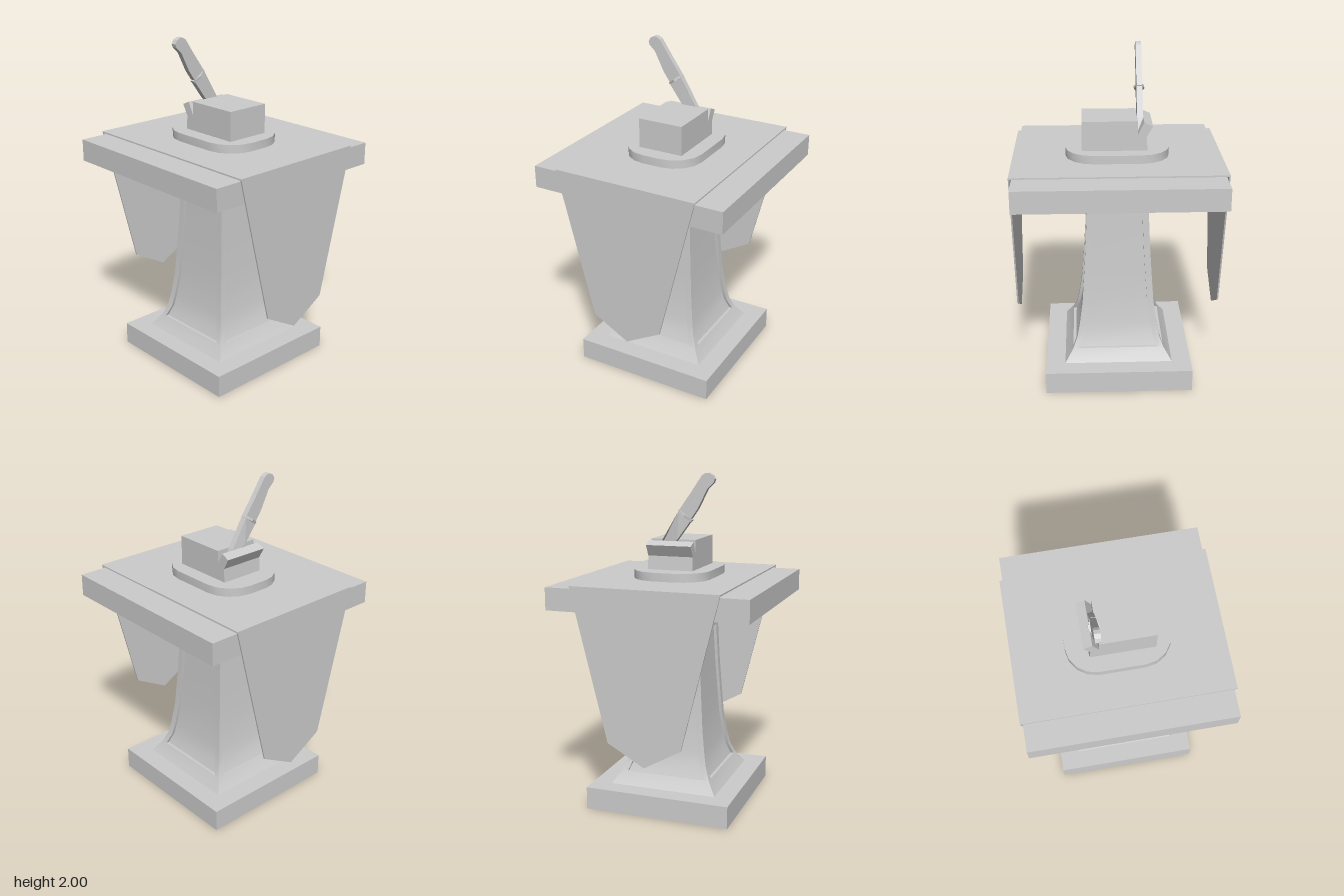
import * as THREE from 'three';
import { toCreasedNormals } from 'three/addons/utils/BufferGeometryUtils.js';

const material = new THREE.MeshStandardMaterial({ color: 0xcccccc });

function add(parent, name, geometry) {
  const mesh = new THREE.Mesh(geometry, material);
  mesh.name = name;
  parent.add(mesh);
  return mesh;
}

// Box given by its width, depth, bottom and top
function slab(w, d, y0, y1) {
  return new THREE.BoxGeometry(w, y1 - y0, d).translate(0, (y0 + y1) / 2, 0);
}

const outline = (pts) => new THREE.Shape(pts.map(([a, b]) => new THREE.Vector2(a, b)));

// Extrudes a centred thickness along local z
function extrude(shape, depth, options = {}) {
  return new THREE.ExtrudeGeometry(shape, { depth, bevelEnabled: false, ...options }).translate(0, 0, -depth / 2);
}

// Side profile of [z, y] points, extruded along x around the given x
function sideExtrude(shape, thickness, x, options) {
  return extrude(shape, thickness, options).rotateY(-Math.PI / 2).translate(x, 0, 0);
}

// Square flared column with a recessed panel on each side
function columnGeometry() {
  const levels = [[0.135, 0.327], [0.21, 0.277], [0.28, 0.25], [0.36, 0.235], [0.5, 0.216],
    [0.66, 0.205], [0.83, 0.194], [1.07, 0.183], [1.24, 0.18]]; // y, half width
  const first = 1, last = 7, frame = 0.038, depth = 0.018;
  const pos = [];
  const section = ([y, h], panelled) => {
    const p = h - frame, r = h - depth;
    const pts = panelled ? [[-h, h], [-p, h], [-p, r], [p, r], [p, h], [h, h]] : [[-h, h], [h, h]];
    return pts.map(([x, z]) => new THREE.Vector3(x, y, z));
  };
  for (let side = 0; side < 4; side++) {
    const turn = new THREE.Matrix4().makeRotationY(side * Math.PI / 2);
    const quad = (a, b, c, d) => [a, b, c, a, c, d].forEach((v) => pos.push(...v.clone().applyMatrix4(turn)));
    for (let i = 0; i < levels.length - 1; i++) {
      const panelled = i >= first && i < last;
      const lo = section(levels[i], panelled), hi = section(levels[i + 1], panelled);
      for (let k = 0; k < lo.length - 1; k++) quad(lo[k], lo[k + 1], hi[k + 1], hi[k]);
    }
    // Bottom and top ledges of the recess
    const b = section(levels[first], true), t = section(levels[last], true);
    quad(b[1], b[4], b[3], b[2]);
    quad(t[2], t[3], t[4], t[1]);
  }
  const geometry = new THREE.BufferGeometry();
  geometry.setAttribute('position', new THREE.Float32BufferAttribute(pos, 3));
  return toCreasedNormals(geometry, 0.5);
}

// Plate outline with rounded corners
function plateShape(w, d, r) {
  const s = new THREE.Shape();
  [[1, 1], [-1, 1], [-1, -1], [1, -1]].forEach(([sx, sy], i) => {
    s.absarc(sx * (w - r), sy * (d - r), r, i * Math.PI / 2, (i + 1) * Math.PI / 2, false);
  });
  return s;
}

export function createModel() {
  const model = new THREE.Group();
  model.name = 'pedestalWithKnife';

  // Pedestal
  add(model, 'base', slab(0.885, 0.885, 0, 0.135));
  add(model, 'column', columnGeometry());
  add(model, 'tableTop', slab(1.195, 1.195, 1.24, 1.372));

  // Cloth: flat runner with a pointed drop on each side
  const cloth = new THREE.Group();
  cloth.name = 'cloth';
  model.add(cloth);
  add(cloth, 'clothTop', slab(1.226, 0.88, 1.381, 1.39));
  const drop = outline([[-0.44, 1.39], [-0.22, 0.5], [0, 0.375], [0.22, 0.5], [0.44, 1.39]]);
  for (const s of [-1, 1]) add(cloth, s < 0 ? 'rightDrop' : 'leftDrop', sideExtrude(drop, 0.009, s * 0.6085));

  // Plate
  const plate = extrude(plateShape(0.303, 0.23, 0.172), 0.05, { curveSegments: 2 });
  add(model, 'plate', toCreasedNormals(plate.rotateX(-Math.PI / 2).translate(0, 1.415, 0), 0.6));

  // Block with a slice leaning away from the cut
  const blockShape = outline([[-0.174, 1.44], [0.207, 1.44], [0.207, 1.615], [-0.117, 1.615],
    [-0.117, 1.535], [-0.153, 1.608], [-0.204, 1.585], [-0.167, 1.52]]);
  add(model, 'cutBlock', extrude(blockShape, 0.275).translate(0, 0, -0.0025));

  // Knife stuck in the cut
  const knife = new THREE.Group();
  knife.name = 'knife';
  model.add(knife);
  const x = -0.134;

  const handle = outline([[0.115, 1.735], [0.043, 1.785], [0.075, 1.83], [0.118, 1.89], [0.155, 1.945], [0.182, 1.985],
    [0.2, 1.997], [0.222, 2], [0.245, 1.988], [0.258, 1.965], [0.252, 1.945], [0.215, 1.91], [0.19, 1.86], [0.16, 1.8]].reverse());
  add(knife, 'handle', sideExtrude(handle, 0.034, x));

  const guard = new THREE.CylinderGeometry(1, 1, 1, 6, 1, false, Math.PI / 2).toNonIndexed();
  guard.scale(0.031, 0.014, 0.057).rotateX(0.644).translate(x, 1.757, 0.081);
  guard.computeVertexNormals();
  add(knife, 'guard', guard);

  // Blade narrows to an edge at the bottom of the cut
  const bladeShape = outline([[0.118, 1.73], [0.033, 1.615], [-0.02, 1.54], [-0.095, 1.54], [-0.056, 1.615], [0.044, 1.784]]);
  const blade = sideExtrude(bladeShape, 0.036, x);
  const p = blade.attributes.position;
  for (let i = 0; i < p.count; i++) if (p.getY(i) < 1.6) p.setX(i, -0.117);
  blade.computeVertexNormals();
  add(knife, 'blade', blade);

  return model;
}
